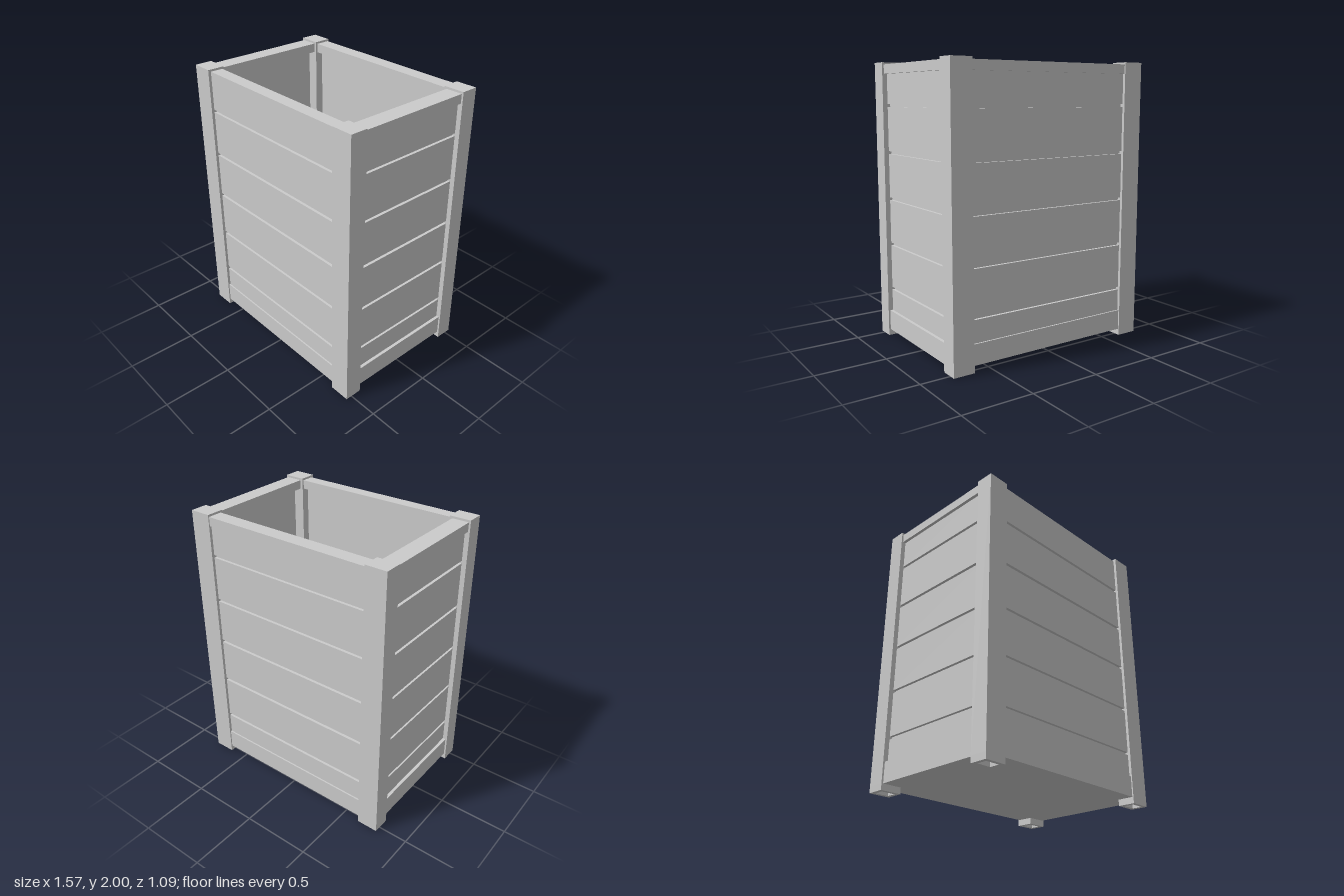
import * as THREE from 'three';

const material = new THREE.MeshStandardMaterial({ color: 0xcccccc, flatShading: true });

function box(name, w, h, d, x, y, z) {
  const mesh = new THREE.Mesh(new THREE.BoxGeometry(w, h, d), material);
  mesh.name = name;
  mesh.position.set(x, y, z);
  return mesh;
}

// Hollow square foot below, closed post above
function createPost(sx, sz) {
  const post = new THREE.Group();
  const w = 0.155, d = 0.125, wall = 0.027, foot = 0.045;
  post.name = 'cornerPost';
  const shape = new THREE.Shape([
    new THREE.Vector2(-w / 2, -d / 2), new THREE.Vector2(w / 2, -d / 2),
    new THREE.Vector2(w / 2, d / 2), new THREE.Vector2(-w / 2, d / 2)]);
  const a = w / 2 - wall, b = d / 2 - wall;
  shape.holes.push(new THREE.Path([
    new THREE.Vector2(-a, -b), new THREE.Vector2(-a, b),
    new THREE.Vector2(a, b), new THREE.Vector2(a, -b)]));
  const geometry = new THREE.ExtrudeGeometry(shape, { depth: foot, bevelEnabled: false });
  geometry.rotateX(-Math.PI / 2);
  const footMesh = new THREE.Mesh(geometry, material);
  footMesh.name = 'hollowFoot';
  post.add(footMesh, box('postShaft', w, 2 - foot, d, 0, (2 + foot) / 2, 0));
  post.position.set(sx * (0.785 - w / 2), 0, sz * (0.545 - d / 2));
  return post;
}

// One wall, built facing +z; depths are distances from the planter centre
function createWall(name, length, { inner, back, core, face, railIn, railOut, topRailOut, topPlankEnd }) {
  const wall = new THREE.Group();
  wall.name = name;
  const slab = (part, y0, y1, z0, z1) =>
    wall.add(box(part, length, y1 - y0, z1 - z0, 0, (y0 + y1) / 2, (z0 + z1) / 2));

  slab('backingPanel', 0.06, 1.95, inner, core);
  slab('bottomRail', 0.045, 0.19, railIn, railOut);
  slab('topRail', 1.92, 1.985, railIn, topRailOut);

  // Planks with narrow grooves between them
  const pitch = 0.3355, groove = 0.02;
  for (let i = 0; i < 6; i++) {
    const y0 = i === 0 ? 0.1 : 0.367 + (i - 1) * pitch;
    const y1 = i === 5 ? topPlankEnd : 0.367 + i * pitch - groove;
    slab('plank', y0, y1, back, face);
  }
  return wall;
}

export function createModel() {
  const model = new THREE.Group();
  model.name = 'planter';

  for (const sx of [-1, 1]) for (const sz of [-1, 1]) model.add(createPost(sx, sz));

  // Front: planks run flush to the rim
  const longWall = { inner: 0.48, back: 0.49, core: 0.505, face: 0.525, railIn: 0.433, railOut: 0.536 };
  model.add(createWall('frontWall', 1.28,
    { ...longWall, topRailOut: 0.52, topPlankEnd: 1.985 }));

  // Back: top rail stands proud of the planks
  const backWall = createWall('backWall', 1.28,
    { ...longWall, topRailOut: 0.538, topPlankEnd: 1.94 });
  backWall.rotation.y = Math.PI;
  model.add(backWall);

  // Sides
  for (const s of [-1, 1]) {
    const side = createWall(s > 0 ? 'leftWall' : 'rightWall', 0.86, {
      inner: 0.71, back: 0.715, core: 0.73, face: 0.75,
      railIn: 0.65, railOut: 0.772, topRailOut: 0.772, topPlankEnd: 1.94 });
    side.rotation.y = s * Math.PI / 2;
    model.add(side);
  }

  // Floor
  model.add(box('floor', 1.5, 0.03, 1.04, 0, 0.06, 0));
  return model;
}
